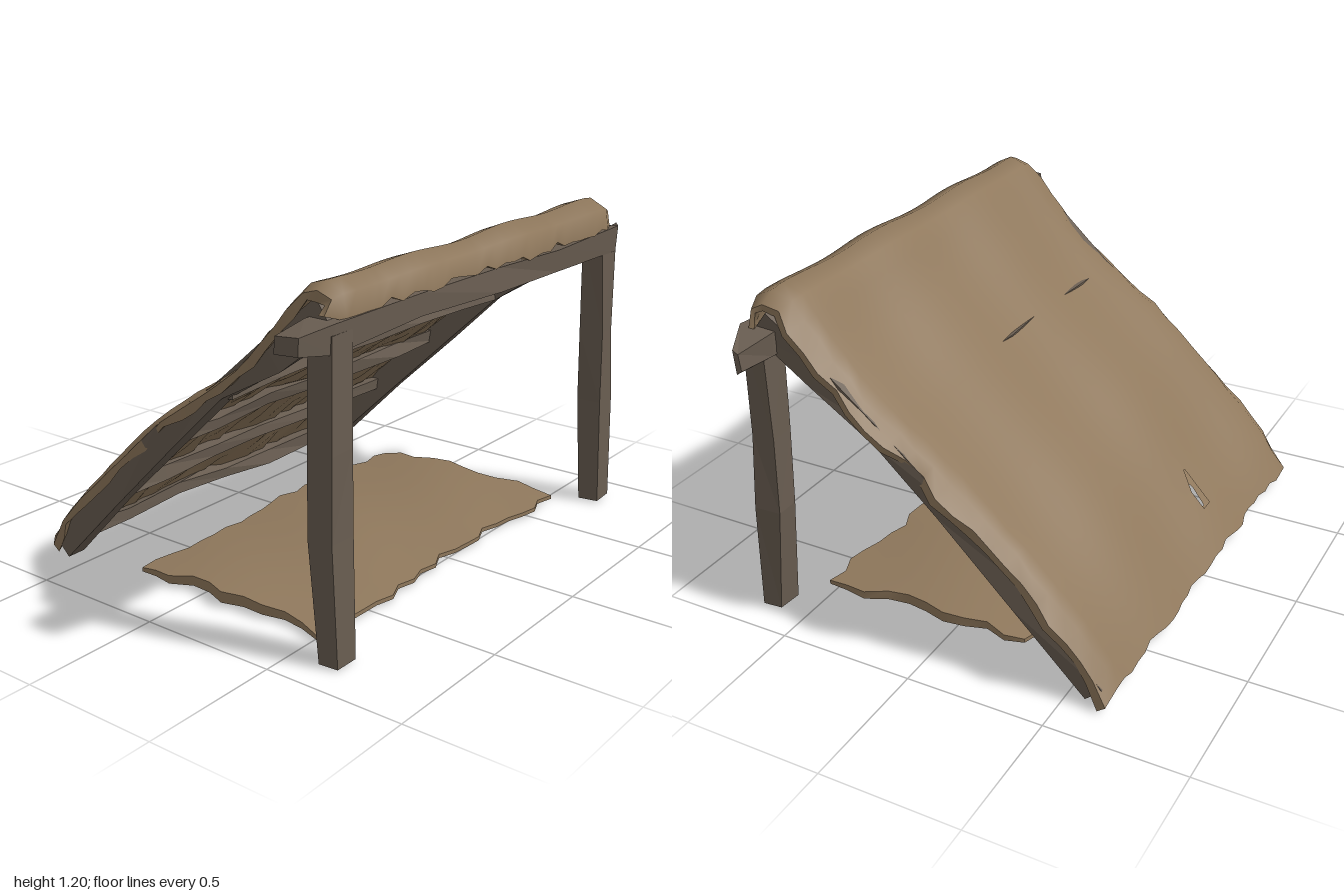
import * as THREE from 'three';

const cloth = new THREE.MeshStandardMaterial({ color: 0x8f785c, side: THREE.DoubleSide });
cloth.name = 'weathered hide';
const wood = new THREE.MeshStandardMaterial({ color: 0x695d51, flatShading: true });
wood.name = 'grey brown wood';

// repeatable noise in -1..1 from up to three numbers
const noise = (a, b = 0, c = 0) => {
  const s = Math.sin(a * 127.1 + b * 311.7 + c * 74.7) * 43758.5453;
  return (s - Math.floor(s)) * 2 - 1;
};

// rough hewn four-sided beam: path rows are [x, y, z, width, height]
function beam(name, rows, across, seed, rough = 0.008) {
  const n = rows.length - 1;
  const g = new THREE.BoxGeometry(1, 1, 1, 1, 1, n);
  const p = g.attributes.position;
  const pts = rows.map(r => new THREE.Vector3(r[0], r[1], r[2]));
  for (let i = 0; i < p.count; i++) {
    const k = Math.round((p.getZ(i) + 0.5) * n);
    const sx = p.getX(i), sy = p.getY(i);
    const t = pts[Math.min(k + 1, n)].clone().sub(pts[Math.max(k - 1, 0)]).normalize();
    const v = t.clone().cross(across).normalize();
    const j = m => noise(k + seed, sx * 2 + m, sy * 3) * rough;
    const q = pts[k].clone()
      .addScaledVector(across, sx * rows[k][3] + j(1))
      .addScaledVector(v, sy * rows[k][4] + j(5));
    p.setXYZ(i, q.x, q.y, q.z);
  }
  g.computeVertexNormals();
  const m = new THREE.Mesh(g, wood);
  m.name = name;
  return m;
}

// thick sheet: place(u, t, side) gives a point; cells refused by keep become holes
function sheet(name, nx, nz, place, keep = () => true) {
  const g = new THREE.BoxGeometry(1, 1, 1, nx, 1, nz);
  const p = g.attributes.position;
  const src = p.clone();
  for (let i = 0; i < p.count; i++) {
    const q = place(p.getX(i) + 0.5, p.getZ(i) + 0.5, p.getY(i) > 0 ? 1 : 0);
    p.setXYZ(i, q.x, q.y, q.z);
  }
  const idx = [];
  const old = g.index.array;
  for (let i = 0; i < old.length; i += 3) {
    const tri = [old[i], old[i + 1], old[i + 2]];
    const cu = tri.reduce((s, k) => s + src.getX(k), 0) / 3 + 0.5;
    const ct = tri.reduce((s, k) => s + src.getZ(k), 0) / 3 + 0.5;
    if (keep(Math.floor(cu * nx), Math.floor(ct * nz))) idx.push(...tri);
  }
  g.setIndex(idx);
  g.clearGroups();
  g.computeVertexNormals();
  const m = new THREE.Mesh(g, cloth);
  m.name = name;
  return m;
}

export function createModel() {
  const group = new THREE.Group();
  group.name = 'leanToShelter';
  const X = new THREE.Vector3(1, 0, 0);
  const Y = new THREE.Vector3(0, 1, 0);

  // front posts and sloping rafters
  for (const s of [-1, 1]) {
    const side = s > 0 ? 'left' : 'right';
    group.add(beam(side + 'Post', [
      [s * 0.835, 0.015, 0.64, 0.09, 0.075],
      [s * 0.835, 0.42, 0.615, 0.1, 0.095],
      [s * 0.83, 0.7, 0.615, 0.1, 0.085],
      [s * 0.825, 1.06, 0.605, 0.1, 0.09],
    ], X, 3 + s));
    group.add(beam(side + 'Rafter', [
      [s * 0.8, 1.11, 0.6, 0.09, 0.12],
      [s * 0.8, 0.95, 0.4, 0.08, 0.1],
      [s * 0.8, 0.785, 0.17, 0.07, 0.06],
      [s * 0.8, 0.585, -0.06, 0.07, 0.09],
      [s * 0.8, 0.33, -0.34, 0.07, 0.1],
      [s * 0.8, 0.055, -0.6, 0.08, 0.09],
    ], X, 9 + s));
  }

  // ridge beam across the front, with tapered ends
  group.add(beam('ridgeBeam', [
    [-1, 1.05, 0.59, 0.06, 0.08],
    [-0.86, 1.05, 0.595, 0.09, 0.11],
    [-0.4, 1.055, 0.6, 0.08, 0.08],
    [0.05, 1.045, 0.605, 0.08, 0.08],
    [0.45, 1.04, 0.6, 0.08, 0.08],
    [0.86, 1.05, 0.6, 0.09, 0.12],
    [1, 1.04, 0.575, 0.07, 0.02],
  ], Y, 21));

  // purlins under the cover
  [[0.79, 0.17], [0.55, -0.13], [0.3, -0.4], [0.085, -0.59]].forEach(([y, z], i) => {
    const rows = [];
    for (let k = 0; k <= 6; k++) {
      rows.push([-0.79 + k * 1.58 / 6, y + noise(k, i) * 0.012, z, 0.045, 0.05]);
    }
    group.add(beam('purlin' + (i + 1), rows, Y, 31 + i * 7, 0.01));
  });

  // hide cover: slope profile [z, y] from the ground up, folded over the ridge
  const profile = new THREE.CatmullRomCurve3([
    [-0.67, 0.07], [-0.6, 0.16], [-0.4, 0.375], [-0.2, 0.56], [0, 0.715], [0.2, 0.86],
    [0.4, 1.05], [0.53, 1.195], [0.61, 1.2], [0.655, 1.16], [0.655, 1.1],
  ].map(([z, y]) => new THREE.Vector3(0, y, z)));
  const NX = 32, NZ = 24;
  group.add(sheet('hideCover', NX, NZ, (u, t, top) => {
    const c = Math.round(u * NX), r = Math.round(t * NZ);
    const q = profile.getPointAt(t), d = profile.getTangentAt(t);
    const edge = Math.abs(u * 2 - 1);
    const lift = -(1 - top) * (0.028 + 0.01 * noise(c, r, 2))
      - 0.03 * Math.max(0, edge - 0.93) / 0.07
      + 0.006 * Math.sin(u * 19 + t * 3) + 0.004 * Math.sin(t * 17 + u * 6);
    q.addScaledVector(new THREE.Vector3(0, d.z, -d.y), lift);
    q.x = (u - 0.5) * 1.68 + (u - 0.5) * 2 * edge ** 8 * (0.02 * noise(r, c) + 0.012);
    // ragged lower edge and front hem
    if (r === 0 || r === NZ) q.addScaledVector(d, 0.015 * noise(c, r, 5));
    // pinch one corner of the tear
    if (c === 13 && r === 4) q.x -= 0.045;
    return q;
  }, (c, r) => !(c === 12 && (r === 2 || r === 3))));

  // sleeping mat on the ground
  const MX = 20, MZ = 10;
  group.add(sheet('sleepingMat', MX, MZ, (u, t, top) => {
    const c = Math.round(u * MX), r = Math.round(t * MZ);
    const arch = Math.sin(Math.PI * t);
    const ex = c === 0 || c === MX ? 0.025 * noise(r, c, 1) : 0;
    const ez = r === 0 || r === MZ ? 0.02 * noise(c, r, 4) : 0;
    return new THREE.Vector3(
      -0.76 + u * 1.44 + ex,
      0.022 + top * (0.015 + 0.025 * arch) + 0.004 * (1 + Math.sin(u * 14 + t * 4)) * arch,
      -0.285 + t * 0.8 + ez + 0.015 * Math.sin(u * 8));
  }));

  return group;
}
